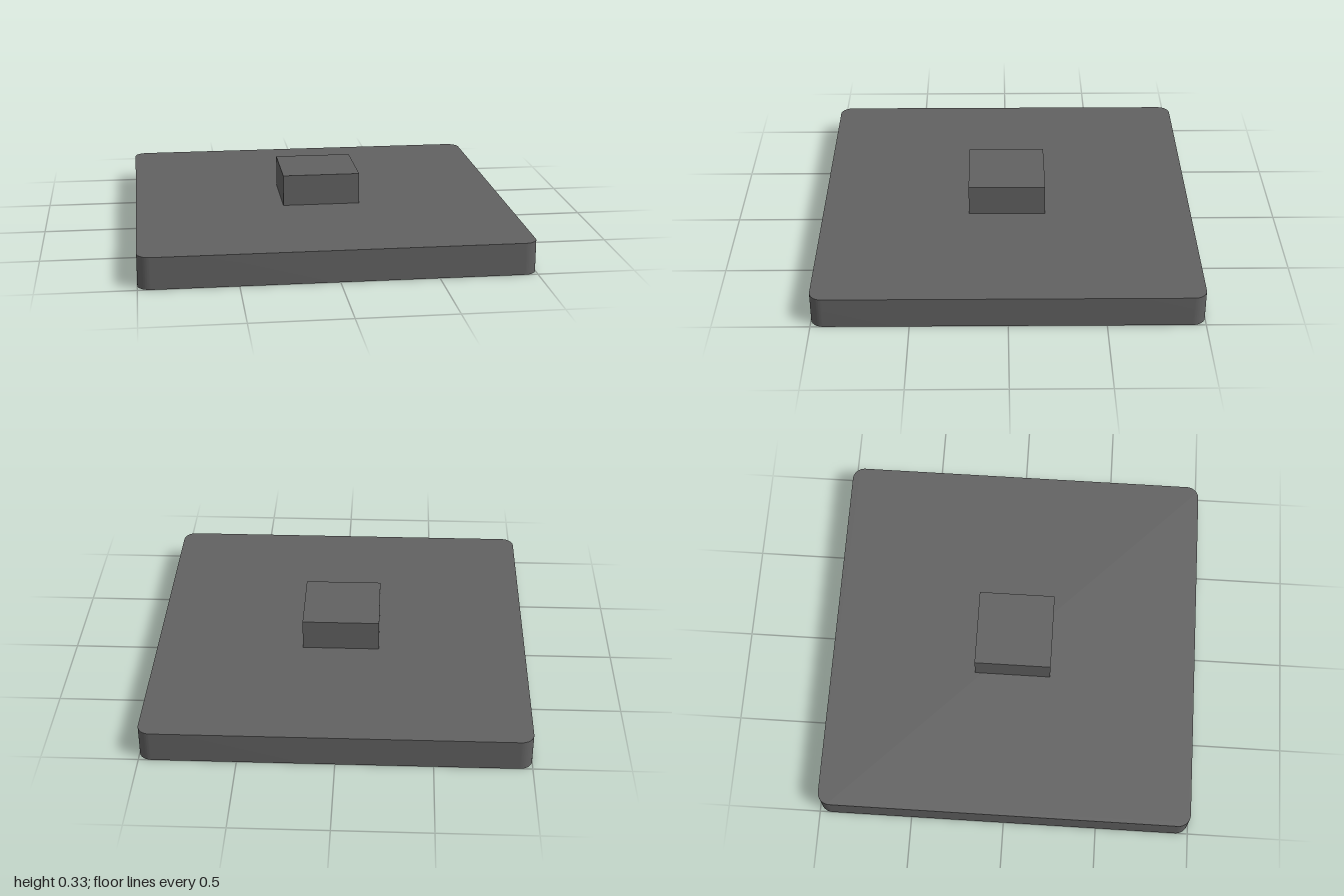
import * as THREE from 'three';
import { toCreasedNormals } from 'three/addons/utils/BufferGeometryUtils.js';

const HALF = 1, RADIUS = 0.067, THICK = 0.166, BLOCK = 0.413;

// Square outline with rounded corners
function roundedSquare(h, r) {
  const s = new THREE.Shape();
  const c = h - r;
  [[c, c], [-c, c], [-c, -c], [c, -c]].forEach(([x, y], i) => {
    s.absarc(x, y, r, i * Math.PI / 2, (i + 1) * Math.PI / 2, false);
  });
  s.closePath();
  return s;
}

export function createModel() {
  const group = new THREE.Group();
  group.name = 'plateWithBlock';
  const material = new THREE.MeshStandardMaterial({ color: 0x616161 });

  // Flat plate with smooth vertical corners and sharp rims
  const plateGeometry = new THREE.ExtrudeGeometry(roundedSquare(HALF, RADIUS), {
    depth: THICK, bevelEnabled: false, curveSegments: 10,
  });
  plateGeometry.rotateX(-Math.PI / 2);
  const plate = new THREE.Mesh(toCreasedNormals(plateGeometry, Math.PI / 6), material);
  plate.name = 'basePlate';
  group.add(plate);

  // Small block standing on the middle of the plate
  const block = new THREE.Mesh(new THREE.BoxGeometry(BLOCK, THICK, BLOCK), material);
  block.name = 'centerBlock';
  block.position.y = THICK * 1.5;
  group.add(block);

  return group;
}
